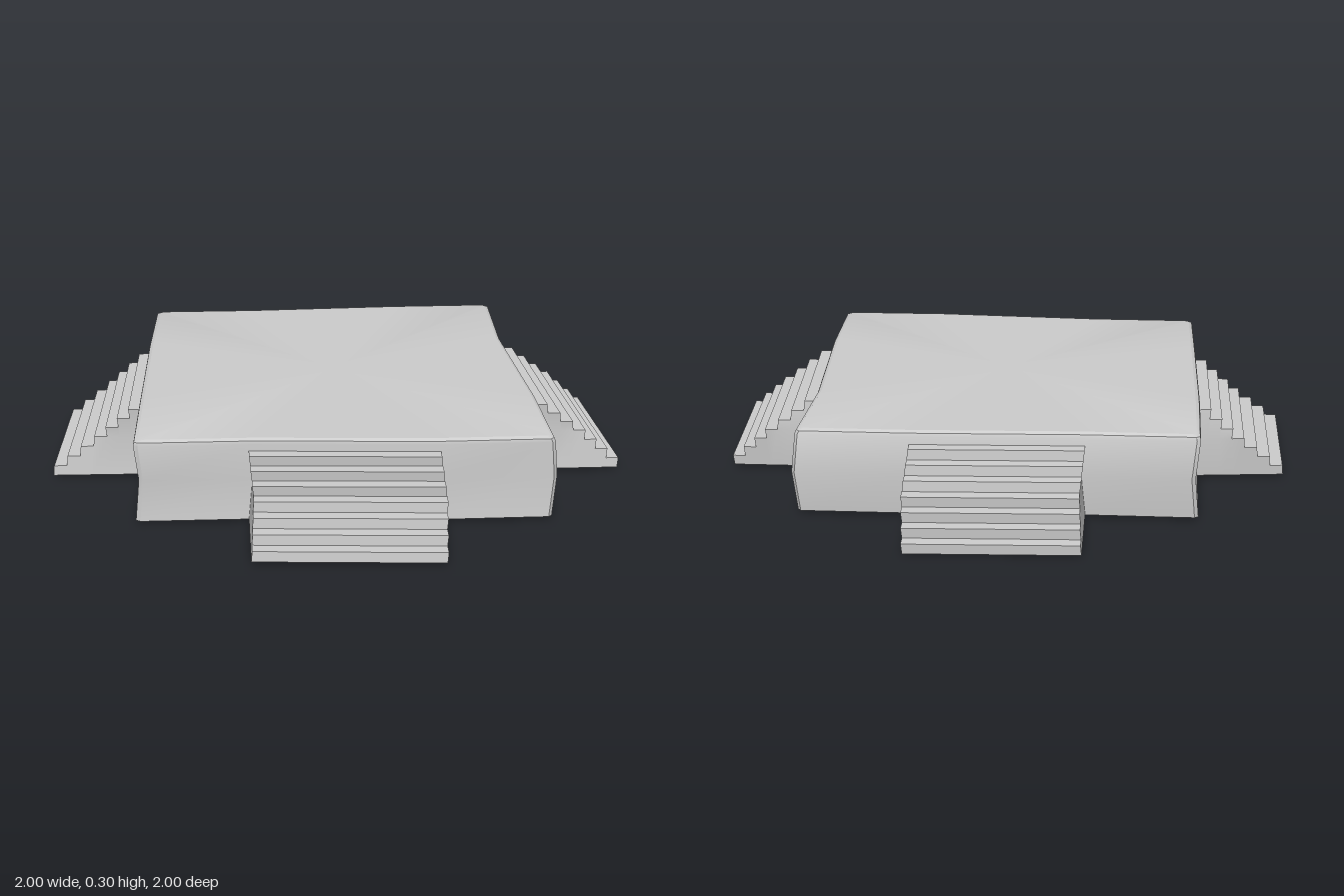
import * as THREE from 'three';
import { toCreasedNormals } from 'three/addons/utils/BufferGeometryUtils.js';

const BASE = 0.01;
const MID = 0.15;

// Whole-model warp: walls kink sideways at mid height, the back edge sags a little.
function warp([x, y, z]) {
  const k = 0.014 * Math.max(0, 1 - Math.abs(y - MID) / 0.14);
  const sag = 0.01 * THREE.MathUtils.clamp((-z - 0.7) / 0.3, 0, 1);
  return [x + k, y - sag, z - k];
}

// Collects quads and triangles, corners counterclockwise from outside.
function makeBuilder() {
  const pos = [];
  const tri = (a, b, c) => [a, b, c].forEach((p) => pos.push(...warp(p)));
  const quad = (a, b, c, d) => { tri(a, b, c); tri(a, c, d); };
  const build = () => {
    const g = new THREE.BufferGeometry();
    g.setAttribute('position', new THREE.Float32BufferAttribute(pos, 3));
    return toCreasedNormals(g, THREE.MathUtils.degToRad(28));
  };
  return { tri, quad, build };
}

// Platform: stacked copies of a slightly crooked outline with a rounded top rim.
function platformGeometry() {
  const outline = [
    [-0.675, 0.645], [-0.31, 0.646], [0.31, 0.682], [0.685, 0.68],
    [0.697, 0.668], [0.69, 0.3], [0.652, -0.3], [0.661, -0.685],
    [0.65, -0.698], [0.28, -0.697], [-0.29, -0.676], [-0.655, -0.678],
    [-0.668, -0.668], [-0.68, -0.3], [-0.687, 0.26], [-0.69, 0.635],
  ];
  const rings = [[BASE, 0], [MID, 0], [0.28, 0], [0.291, 0.004], [0.298, 0.016]]
    .map(([y, inset]) => outline.map(([x, z]) => {
      const s = 1 - inset / 0.68;
      return [x * s, y, z * s];
    }));
  const { tri, quad, build } = makeBuilder();
  const n = outline.length;
  const top = rings[rings.length - 1];
  for (let i = 0; i < n; i++) {
    const j = (i + 1) % n;
    for (let r = 0; r < rings.length - 1; r++) {
      quad(rings[r][i], rings[r][j], rings[r + 1][j], rings[r + 1][i]);
    }
    tri([0, 0.298, 0], top[i], top[j]);
    tri([0, BASE, 0], rings[0][j], rings[0][i]);
  }
  return build();
}

// Stairs between an outer edge and an inner edge; each edge runs left to right seen from outside.
function stairGeometry([outL, outR], [inL, inR], steps = 7) {
  const { quad, build } = makeBuilder();
  const at = (o, i, t, y) => [o[0] + (i[0] - o[0]) * t, y, o[1] + (i[1] - o[1]) * t];
  const L = (t, y) => at(outL, inL, t, y);
  const R = (t, y) => at(outR, inR, t, y);
  let below = BASE;
  for (let s = 0; s < steps; s++) {
    const h = 0.045 + 0.035 * s;
    const t0 = s / steps;
    // the top step runs on into the platform
    const t1 = s === steps - 1 ? 1.12 : (s + 1) / steps;
    quad(L(t0, below), R(t0, below), R(t0, h), L(t0, h)); // riser
    quad(L(t0, h), R(t0, h), R(t1, h), L(t1, h)); // tread
    quad(L(t1, BASE), R(t1, BASE), R(t0, BASE), L(t0, BASE)); // underside
    const levels = h > MID + 0.005 ? [BASE, MID, h] : [BASE, h];
    for (let k = 0; k < levels.length - 1; k++) {
      const [a, b] = [levels[k], levels[k + 1]];
      quad(R(t0, a), R(t1, a), R(t1, b), R(t0, b));
      quad(L(t1, a), L(t0, a), L(t0, b), L(t1, b));
    }
    below = h;
  }
  return build();
}

export function createModel() {
  const group = new THREE.Group();
  const material = new THREE.MeshStandardMaterial({ color: 0xcccccc });
  const add = (name, geometry) => {
    const mesh = new THREE.Mesh(geometry, material);
    mesh.name = name;
    group.add(mesh);
  };

  add('platform', platformGeometry());

  // One flight of stairs on each side: outer edge, inner edge as [x, z]
  const stairs = {
    frontStairs: [[[-0.31, 0.957], [0.31, 0.997]], [[-0.315, 0.645], [0.315, 0.68]]],
    backStairs: [[[0.275, -1.0], [-0.29, -0.98]], [[0.28, -0.697], [-0.295, -0.676]]],
    leftStairs: [[[0.997, 0.29], [0.96, -0.295]], [[0.69, 0.29], [0.652, -0.295]]],
    rightStairs: [[[-0.98, -0.27], [-1.0, 0.257]], [[-0.68, -0.3], [-0.687, 0.262]]],
  };
  for (const [name, [outer, inner]] of Object.entries(stairs)) {
    add(name, stairGeometry(outer, inner));
  }
  return group;
}
